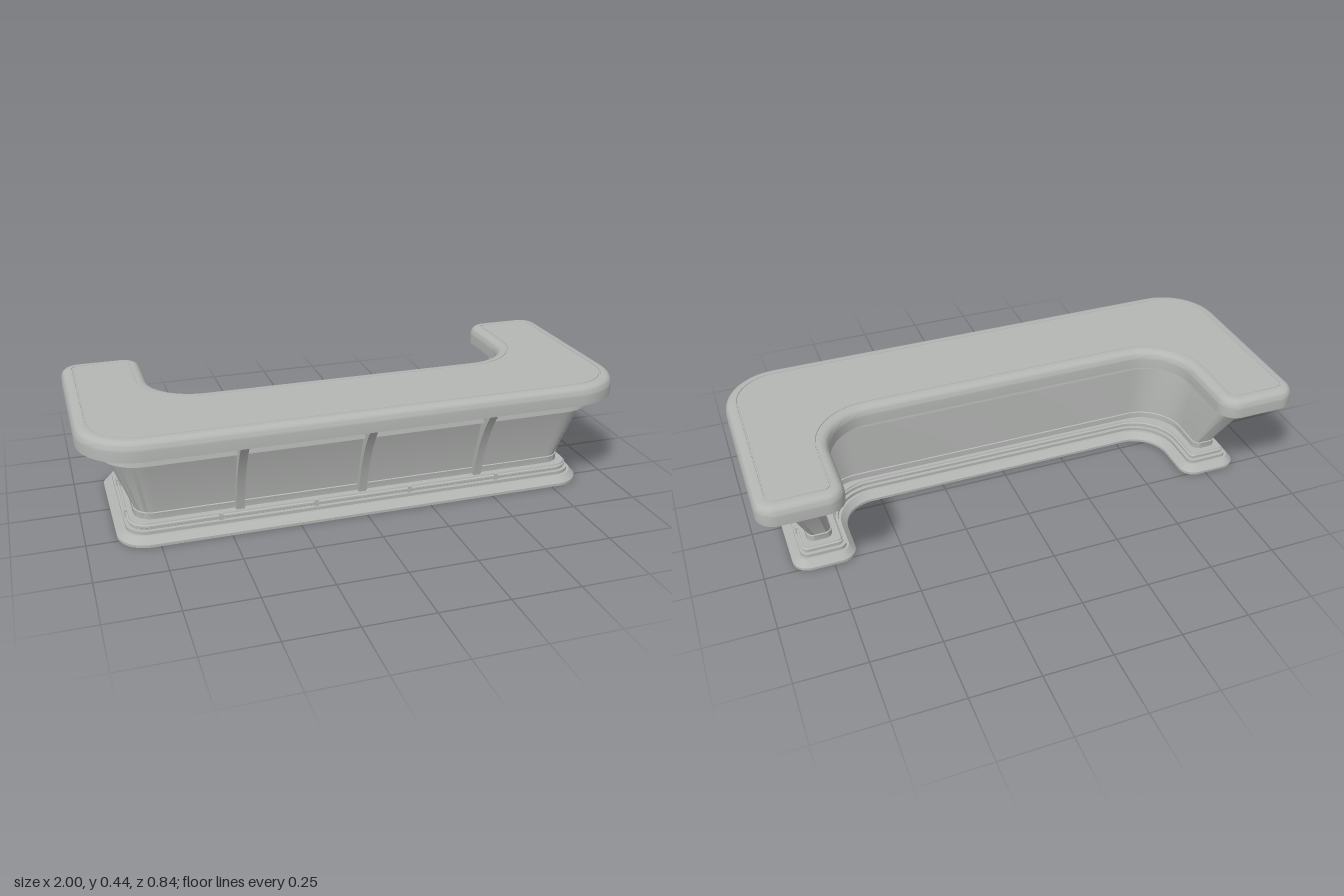
import * as THREE from 'three';
import { toCreasedNormals } from 'three/addons/utils/BufferGeometryUtils.js';

const STEPS = 10;

// U-shaped plan: outer half width W, front F, arm ends B, inner arm face I, inner main face M,
// with radii R (front corners), r (arm ends) and q (inner corners); d shrinks the plan on all sides.
function ring(p, y, d = 0) {
  const W = p.W - d, F = p.F - d, B = p.B + d, I = p.I + d, M = p.M + d;
  const R = Math.max(p.R - d, 0.01), r = Math.max(p.r - d, 0.008), q = p.q + d;
  const corners = [
    [-W, F, R], [W, F, R], [W, B, r], [I, B, r],
    [I, M, q], [-I, M, q], [-I, B, r], [-W, B, r],
  ];
  const pts = [];
  corners.forEach(([x, z, rad], i) => {
    const a = corners[(i + 7) % 8], b = corners[(i + 1) % 8];
    const P = new THREE.Vector2(x, z);
    const toPrev = new THREE.Vector2(a[0] - x, a[1] - z).normalize();
    const toNext = new THREE.Vector2(b[0] - x, b[1] - z).normalize();
    for (let s = 0; s <= STEPS; s++) {
      const t = (s / STEPS) * Math.PI / 2;
      const v = P.clone()
        .addScaledVector(toPrev, rad * (1 - Math.sin(t)))
        .addScaledVector(toNext, rad * (1 - Math.cos(t)));
      pts.push(new THREE.Vector3(v.x, y, v.y));
    }
  });
  return pts;
}

// Skin a stack of rings from bottom to top and close both ends
function loft(rings) {
  const n = rings[0].length, index = [];
  rings.slice(1).forEach((_, k) => {
    for (let j = 0; j < n; j++) {
      const a = k * n + j, b = k * n + (j + 1) % n;
      index.push(a, b, b + n, a, b + n, a + n);
    }
  });
  const cap = (k, flip) => {
    const contour = rings[k].map(v => new THREE.Vector2(v.x, -v.z));
    for (const [a, b, c] of THREE.ShapeUtils.triangulateShape(contour, [])) {
      const f = flip ? [a, c, b] : [a, b, c];
      index.push(...f.map(i => i + k * n));
    }
  };
  cap(0, true);
  cap(rings.length - 1, false);
  const g = new THREE.BufferGeometry().setFromPoints(rings.flat());
  g.setIndex(index);
  return toCreasedNormals(g, Math.PI / 6);
}

export function createModel() {
  const group = new THREE.Group();
  const stone = new THREE.MeshStandardMaterial({ color: 0xb4b6b4 });
  stone.name = 'pale grey';

  const add = (name, geometry) => {
    const mesh = new THREE.Mesh(geometry, stone);
    mesh.name = name;
    group.add(mesh);
    return mesh;
  };
  const profile = (plan, steps) => loft(steps.map(([d, y]) => ring(plan, y, d)));

  // Stepped plinth
  const basePlan = { W: 0.89, F: 0.33, B: -0.265, I: 0.66, M: 0.03, R: 0.11, r: 0.06, q: 0.13 };
  add('plinth', profile(basePlan, [
    [0, 0], [0, 0.01], [0.022, 0.034], [0.032, 0.034], [0.032, 0.046],
    [0.046, 0.046], [0.046, 0.052], [0.041, 0.055], [0.041, 0.062], [0.046, 0.065], [0.048, 0.07],
    [0.06, 0.07],
  ]));

  // Flared body
  const low = { W: 0.825, F: 0.258, B: -0.195, I: 0.732, M: 0.092, R: 0.07, r: 0.03, q: 0.16 };
  const high = { W: 0.905, F: 0.322, B: -0.31, I: 0.77, M: 0.102, R: 0.13, r: 0.045, q: 0.18 };
  add('body', loft([
    ring(low, 0.065), ring(low, 0.093), ring(low, 0.095, 0.004), ring(high, 0.315),
  ]));

  // Trim band under the counter
  const trimPlan = { W: 0.922, F: 0.338, B: -0.328, I: 0.755, M: 0.087, R: 0.14, r: 0.05, q: 0.18 };
  add('trimBand', profile(trimPlan, [[0, 0.31], [0.002, 0.322], [0.01, 0.368]]));

  // Counter slab with rounded upper edge and a shallow border groove
  const topPlan = { W: 1, F: 0.418, B: -0.42, I: 0.7, M: 0.025, R: 0.21, r: 0.07, q: 0.18 };
  const edge = [[0, 0.365]];
  for (let i = 0; i <= 6; i++) {
    const t = (i / 6) * Math.PI / 2;
    edge.push([0.03 * (1 - Math.cos(t)), 0.402 + 0.033 * Math.sin(t)]);
  }
  edge.push([0.041, 0.435], [0.042, 0.432], [0.046, 0.432], [0.047, 0.435]);
  add('counterTop', profile(topPlan, edge));

  // Curved brackets on the front and outer sides
  const fin = new THREE.Shape();
  fin.moveTo(0.24, 0.066);
  fin.lineTo(0.274, 0.066);
  fin.quadraticCurveTo(0.308, 0.25, 0.4, 0.366);
  fin.lineTo(0.3, 0.366);
  fin.closePath();
  const finGeometry = (offset) => {
    const g = new THREE.ExtrudeGeometry(fin, { depth: 0.03, bevelEnabled: false, curveSegments: 12 });
    g.translate(offset, 0, -0.015);
    return toCreasedNormals(g, Math.PI / 6);
  };
  const frontFin = finGeometry(0), sideFin = finGeometry(0.57);
  for (const x of [-0.457, 0, 0.457]) {
    const m = add('frontBracket', frontFin);
    m.rotation.y = -Math.PI / 2;
    m.position.x = x;
  }
  for (const s of [-1, 1]) {
    const m = add('sideBracket', sideFin);
    m.rotation.y = s > 0 ? 0 : Math.PI;
    m.position.z = -0.055;
  }

  // Small clips along the plinth's upper step
  const clip = (x, z, w, d) =>
    add('plinthClip', new THREE.BoxGeometry(w, 0.024, d)).position.set(x, 0.058, z);
  for (const x of [-0.53, -0.18, 0.18, 0.53]) clip(x, 0.28, 0.014, 0.024);
  for (const s of [-1, 1]) for (const z of [0.155, -0.1]) clip(s * 0.84, z, 0.024, 0.014);

  return group;
}
